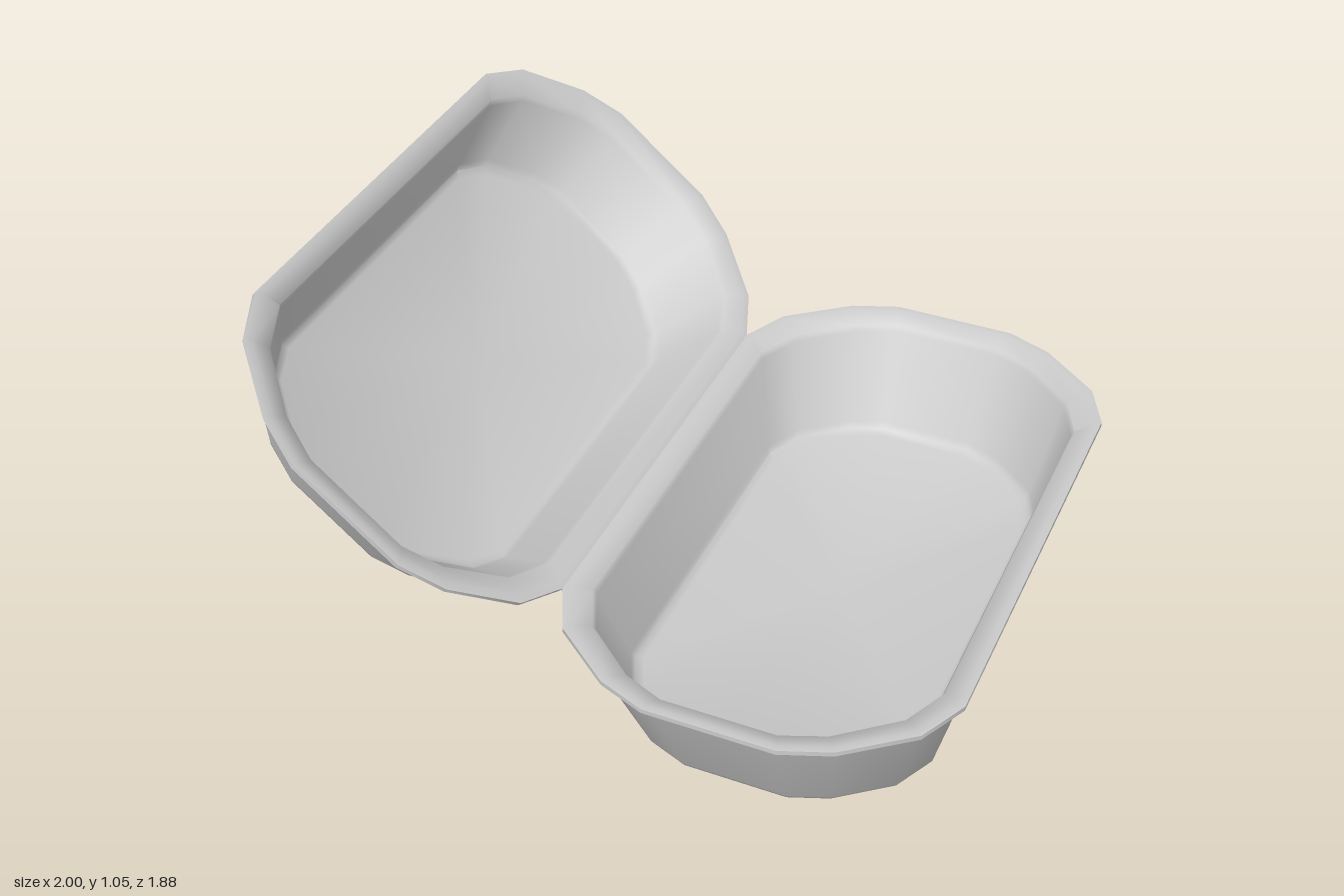
import * as THREE from 'three';
import { toCreasedNormals } from 'three/addons/utils/BufferGeometryUtils.js';

const HALF_W = 0.54, HALF_D = 0.94;

// One corner of the rim outline; mirrored to all four corners
const CORNER = [[0.54, 0.62], [0.475, 0.755], [0.305, 0.89], [0.175, 0.94]];

function outline() {
  const back = [...CORNER].reverse();
  return [
    ...CORNER,
    ...back.map(([x, z]) => [-x, z]),
    ...CORNER.map(([x, z]) => [-x, -z]),
    ...back.map(([x, z]) => [x, -z]),
  ];
}

// Tray of height h: scaled outlines lofted up the outside, over the rim and down the inside
function trayGeometry(h) {
  const profile = [ // half width, half depth, height
    [0, 0, 0],
    [0.415, 0.74, 0],
    [0.432, 0.757, 0.007],
    [0.44, 0.766, 0.022],
    [0.519, 0.902, h - 0.02],
    [0.54, 0.94, h - 0.013],
    [0.54, 0.94, h],
    [0.523, 0.922, h],
    [0.475, 0.872, h - 0.02],
    [0.468, 0.862, h - 0.035],
    [0.412, 0.742, 0.07],
    [0.404, 0.73, 0.052],
    [0.385, 0.708, 0.042],
    [0, 0, 0.042],
  ];
  const ring = outline(), n = ring.length;
  const positions = [], indices = [];
  for (const [w, d, y] of profile)
    for (const [x, z] of ring) positions.push(x * w / HALF_W, y, z * d / HALF_D);
  for (let i = 0; i < profile.length - 1; i++) {
    for (let j = 0; j < n; j++) {
      const k = (j + 1) % n;
      const a = i * n + j, b = i * n + k, c = a + n, d = b + n;
      if (i > 0) indices.push(a, d, b);
      if (i < profile.length - 2) indices.push(a, c, d);
      else indices.splice(indices.length - 3, 3, a, c, b);
    }
  }
  const geometry = new THREE.BufferGeometry();
  geometry.setAttribute('position', new THREE.Float32BufferAttribute(positions, 3));
  geometry.setIndex(indices);
  return toCreasedNormals(geometry, 0.75);
}

export function createModel() {
  const material = new THREE.MeshStandardMaterial({ color: 0xcccccc });
  const model = new THREE.Group();
  model.name = 'hingedFoodBox';
  const hingeX = -0.085, baseH = 0.355, lidH = 0.275;

  // Deep lower tray
  const base = new THREE.Mesh(trayGeometry(baseH), material);
  base.name = 'baseTray';
  base.position.x = hingeX + HALF_W;
  model.add(base);

  // Shallower lid, swung open about the hinge line
  const lid = new THREE.Group();
  lid.name = 'lid';
  lid.position.set(hingeX, baseH, 0);
  lid.rotation.z = -THREE.MathUtils.degToRad(39.8);
  const lidTray = new THREE.Mesh(trayGeometry(lidH), material);
  lidTray.name = 'lidTray';
  lidTray.position.set(-HALF_W, -lidH, 0);
  lid.add(lidTray);
  model.add(lid);

  // Thin fold joining the two rims
  const hinge = new THREE.Mesh(new THREE.CylinderGeometry(0.006, 0.006, 1.24, 8), material);
  hinge.name = 'hinge';
  hinge.rotation.x = Math.PI / 2;
  hinge.position.set(hingeX, baseH - 0.006, 0);
  model.add(hinge);

  return model;
}
